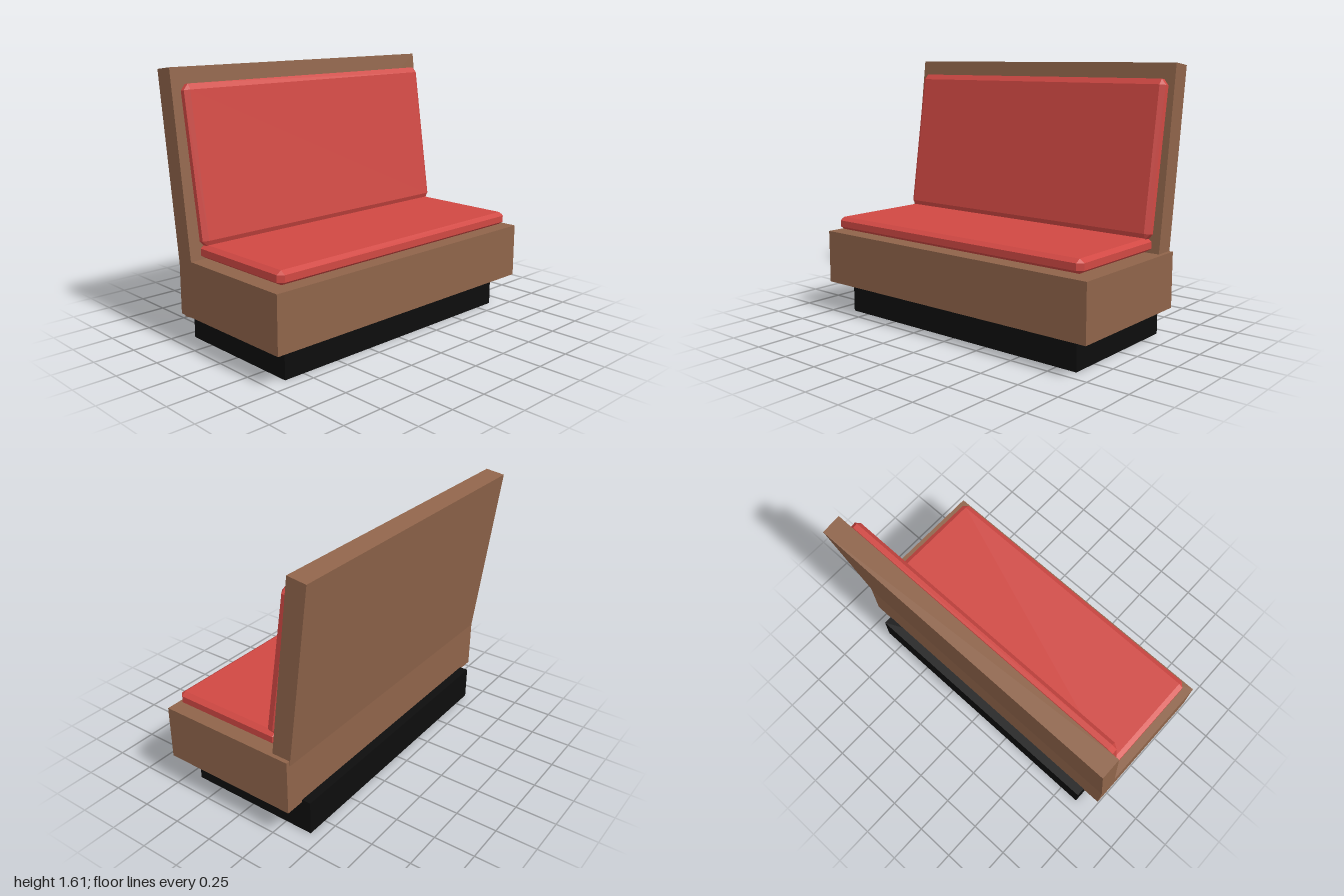
import * as THREE from 'three';
import { ConvexGeometry } from 'three/addons/geometries/ConvexGeometry.js';

function material(name, color) {
  const m = new THREE.MeshStandardMaterial({ color });
  m.name = name;
  return m;
}

// Box with every edge and corner cut flat; size and cut are [x, y, z]
function chamferedBox(size, cut) {
  const points = [];
  for (const sx of [-1, 1]) for (const sy of [-1, 1]) for (const sz of [-1, 1]) {
    const s = [sx, sy, sz];
    for (let face = 0; face < 3; face++) {
      const p = s.map((sign, i) => sign * (size[i] / 2 - (i === face ? 0 : cut[i])));
      points.push(new THREE.Vector3(...p));
    }
  }
  return new ConvexGeometry(points);
}

export function createModel() {
  const wood = material('brown wood', 0x8f644a);
  const fabric = material('red upholstery', 0xd04843);
  const black = material('black plinth', 0x0d0d0d);

  const group = new THREE.Group();
  group.name = 'boothBench';

  function add(name, geometry, mat, position, tilt = 0) {
    const mesh = new THREE.Mesh(geometry, mat);
    mesh.name = name;
    mesh.position.set(...position);
    mesh.rotation.x = -tilt;
    group.add(mesh);
  }

  // Recessed plinth and seat box
  add('plinth', new THREE.BoxGeometry(1.76, 0.21, 0.845), black, [0, 0.105, -0.003]);
  add('seatBase', new THREE.BoxGeometry(2, 0.335, 0.883), wood, [0, 0.363, 0.072]);

  // Backrest panel leaning backwards, running down into the seat box
  add('backPanel', new THREE.BoxGeometry(1.975, 1.419, 0.121), wood, [-0.0125, 0.899, -0.36], 0.127);

  // Cushions with chamfered edges
  add('seatCushion', chamferedBox([1.89, 0.08, 0.735], [0.03, 0.02, 0.03]), fabric,
    [-0.004, 0.585, 0.113]);
  add('backCushion', chamferedBox([1.895, 0.916, 0.07], [0.03, 0.035, 0.02]), fabric,
    [-0.003, 1.066, -0.28], 0.153);

  return group;
}
